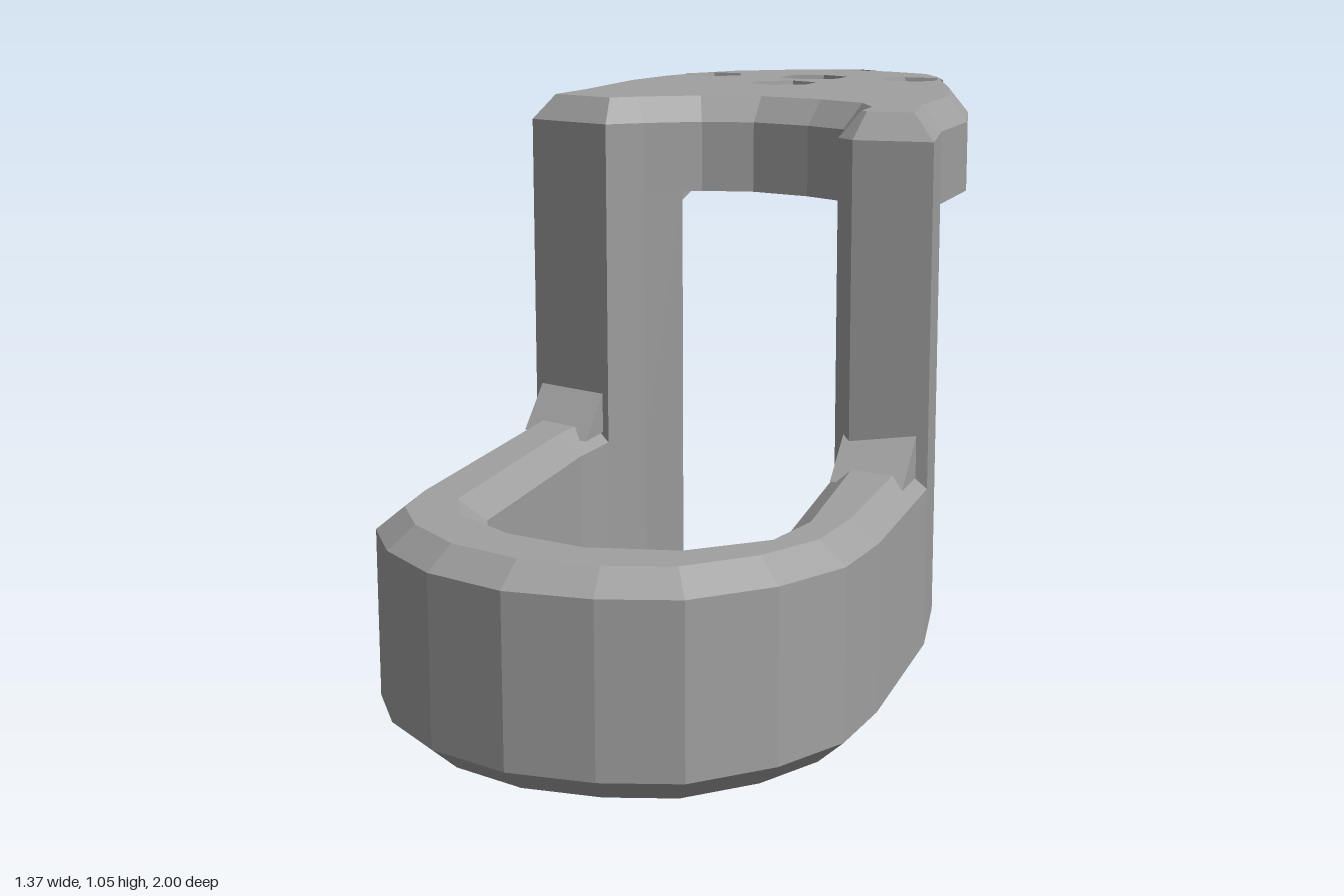
import * as THREE from 'three';
import { ConvexGeometry } from 'three/addons/geometries/ConvexGeometry.js';

const V2 = (x, z) => new THREE.Vector2(x, -z);
// plan outlines are [x, z] pairs, wound counter-clockwise seen from above
const outline = (pts) => {
  const ring = pts.map(([x, z]) => V2(x, z));
  return THREE.ShapeUtils.isClockWise(ring) ? ring.reverse() : ring;
};

// moves an outline inwards with mitred corners
function inset(ring, d) {
  const n = ring.length;
  const normal = (a, b) => new THREE.Vector2(b.y - a.y, a.x - b.x).normalize();
  return ring.map((p, i) => {
    const n1 = normal(ring[(i + n - 1) % n], p), n2 = normal(p, ring[(i + 1) % n]);
    const k = d / Math.max(0.5, 1 + n1.dot(n2));
    return p.clone().sub(n1.add(n2).multiplyScalar(k));
  });
}

// stacked slab: layers of [height, inset], with tapered holes { x, z, top, bottom, turn }
function slab(pts, layers, holes = [], caps = true) {
  const base = outline(pts), y0 = layers[0][0], y1 = layers[layers.length - 1][0];
  const hole = (h, y) => {
    const r = THREE.MathUtils.mapLinear(y, y0, y1, h.bottom, h.top);
    return Array.from({ length: 6 }, (_, i) => {
      const a = h.turn - i * Math.PI / 3;
      return V2(h.x + r * Math.cos(a), h.z - r * Math.sin(a));
    });
  };
  const levels = layers.map(([y, d]) => ({ y, rings: [inset(base, d), ...holes.map((h) => hole(h, y))] }));
  const out = [];
  const put = (p, y) => out.push(p.x, y, -p.y);
  for (let l = 0; l + 1 < levels.length; l++) {
    const A = levels[l], B = levels[l + 1];
    A.rings.forEach((ring, r) => ring.forEach((p, i) => {
      const j = (i + 1) % ring.length, q = ring[j], s = B.rings[r];
      put(p, A.y); put(q, A.y); put(s[j], B.y);
      put(p, A.y); put(s[j], B.y); put(s[i], B.y);
    }));
  }
  if (caps) {
    for (const [level, up] of [[levels[0], false], [levels[levels.length - 1], true]]) {
      const all = level.rings.flat();
      for (const [a, b, c] of THREE.ShapeUtils.triangulateShape(level.rings[0].slice(), level.rings.slice(1))) {
        for (const k of up ? [a, b, c] : [a, c, b]) put(all[k], level.y);
      }
    }
  }
  const g = new THREE.BufferGeometry();
  g.setAttribute('position', new THREE.Float32BufferAttribute(out, 3));
  g.computeVertexNormals();
  return g;
}

// triangular fillet along the edge a-b, reaching out by d, rising or dropping by h
function wedge(a, b, d, y, h) {
  const p = ([x, z], yy, k) => new THREE.Vector3(x + d[0] * k, yy, z + d[1] * k);
  return new ConvexGeometry([p(a, y, 0), p(b, y, 0), p(a, y, 1), p(b, y, 1), p(a, y + h, 0), p(b, y + h, 0)]);
}

export function createModel() {
  const model = new THREE.Group();
  const grey = new THREE.MeshStandardMaterial({ color: 0xa0a0a0, flatShading: true });
  grey.name = 'grey';
  const add = (name, geometry) => {
    const m = new THREE.Mesh(geometry, grey);
    m.name = name;
    model.add(m);
  };

  // lower U-shaped loop, open at the back between the posts
  const loopOuter = [
    [-0.24, -0.38], [-0.33, -0.24], [-0.64, 0.38], [-0.685, 0.5], [-0.67, 0.64], [-0.61, 0.78], [-0.5, 0.9],
    [-0.36, 0.97], [-0.22, 1], [-0.06, 0.955], [0.07, 0.87], [0.16, 0.74], [0.34, 0.4], [0.415, 0.19],
  ];
  const loopInner = [
    [0.24, 0.11], [0.235, 0.19], [0.19, 0.28], [0, 0.7], [-0.07, 0.78], [-0.2, 0.81], [-0.33, 0.77],
    [-0.43, 0.68], [-0.49, 0.57], [-0.49, 0.48], [-0.27, 0.03], [-0.2, -0.08], [-0.12, -0.1], [-0.04, -0.11], [-0.06, -0.17],
  ];
  add('lowerLoop', slab([...loopOuter, ...loopInner], [[0, 0.05], [0.045, 0], [0.35, 0], [0.39, 0.05]]));

  // posts joining the loop to the plate
  const rightPost = [[0.19, 0.28], [0.205, 0.33], [0.34, 0.4], [0.415, 0.19], [0.24, 0.11], [0.235, 0.19]];
  const leftPost = [[-0.33, -0.24], [-0.2, -0.08], [-0.12, -0.1], [-0.04, -0.11], [-0.06, -0.17], [-0.24, -0.38]];
  add('leftPost', slab(rightPost, [[0.35, 0], [0.87, 0]], [], false));
  add('rightPost', slab(leftPost, [[0.35, 0], [0.87, 0]], [], false));

  // upper plate with chamfered top edge and five hexagonal holes
  const plate = [
    [-0.33, -0.24], [-0.2, -0.08], [-0.12, -0.1], [0, -0.11], [0.1, -0.075], [0.19, 0.02], [0.24, 0.11], [0.235, 0.19],
    [0.19, 0.28], [0.205, 0.33], [0.34, 0.4], [0.415, 0.19], [0.53, -0.02], [0.6, -0.25], [0.68, -0.62], [0.685, -0.75],
    [0.61, -0.88], [0.5, -0.965], [0.35, -1], [0.21, -0.98], [0.1, -0.91], [0.01, -0.82], [-0.1, -0.67], [-0.24, -0.39],
  ];
  const holes = [[0.15, -0.82], [0.49, -0.88], [0.56, -0.56], [0.25, -0.5]]
    .map(([x, z], i) => ({ x, z, top: 0.075, bottom: 0.04, turn: i * 0.6 + 0.3 }));
  holes.push({ x: 0.36, z: -0.68, top: 0.08, bottom: 0.075, turn: 0 });
  add('upperPlate', slab(plate, [[0.86, 0], [1, 0], [1.05, 0.04]], holes));

  // fillets where the posts meet the loop and the plate
  add('loopFillet', wedge([-0.32, -0.22], [-0.21, -0.09], [-0.045, 0.08], 0.37, 0.08));
  add('loopFillet', wedge([0.205, 0.3], [0.32, 0.39], [-0.05, 0.09], 0.37, 0.08));
  add('plateFillet', wedge([-0.06, -0.17], [-0.23, -0.37], [0.08, -0.07], 0.865, -0.06));
  add('plateFillet', wedge([0.25, 0.115], [0.405, 0.185], [0.03, -0.1], 0.865, -0.06));
  return model;
}
